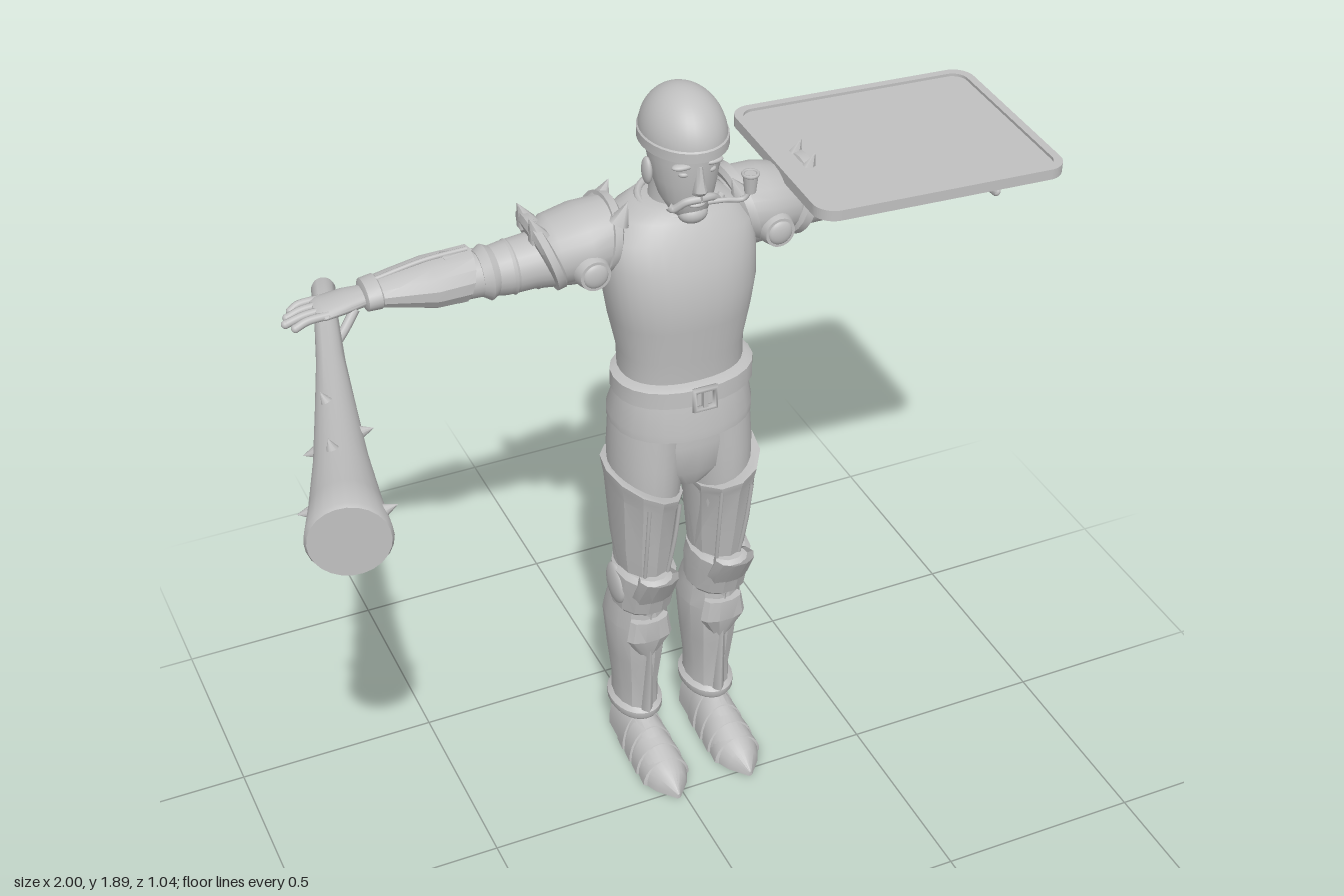
import * as THREE from 'three';
import { toCreasedNormals } from 'three/addons/utils/BufferGeometryUtils.js';

const stone = new THREE.MeshStandardMaterial({ color: 0xc0c0c0 });
stone.name = 'plain grey';
const V = (x, y, z) => new THREE.Vector3(x, y, z);

// Closed skin through oval sections [t, a, b, ra, rb, tilt] along an axis.
// y: a,b = x,z   x: a,b = y,z   z: a,b = x,y
function loft(axis, secs, { n = 24, pow = 2, crease = 0.7 } = {}) {
  const pos = [], idx = [], dir = axis === 'y' ? 1 : -1;
  const place = (t, u, v) => axis === 'y' ? [u, t, v] : axis === 'x' ? [t, u, v] : [u, Math.max(v, 0), t];
  const bend = c => Math.sign(c) * Math.abs(c) ** (2 / pow);
  for (const [t, a, b, ra, rb, tilt = 0] of secs) {
    for (let j = 0; j < n; j++) {
      const th = dir * j / n * Math.PI * 2;
      const c = bend(Math.cos(th)), s = bend(Math.sin(th));
      pos.push(...place(t + tilt * (axis === 'y' && Math.abs(tilt) > 1 ? 0 : c), a + ra * c, b + rb * s));
    }
  }
  for (let i = 0; i < secs.length - 1; i++) for (let j = 0; j < n; j++) {
    const k = (j + 1) % n, a = i * n + j, b = i * n + k;
    idx.push(a, a + n, b, b, a + n, b + n);
  }
  const last = (secs.length - 1) * n, lo = secs.length * n;
  for (const s of [secs[0], secs[secs.length - 1]]) pos.push(...place(s[0], s[1], s[2]));
  for (let j = 0; j < n; j++) {
    const k = (j + 1) % n;
    idx.push(lo, j, k, lo + 1, last + k, last + j);
  }
  const g = new THREE.BufferGeometry();
  g.setAttribute('position', new THREE.Float32BufferAttribute(pos, 3));
  g.setIndex(idx);
  return toCreasedNormals(g, crease);
}

function add(group, name, geo) {
  const m = new THREE.Mesh(geo, stone);
  m.name = name;
  group.add(m);
  return m;
}

const ball = (x, y, z, rx, ry, rz) => new THREE.SphereGeometry(1, 20, 14).scale(rx, ry, rz).translate(x, y, z);

// Cone whose base sits at p and points along d
function spike(p, d, r, h, sides = 10) {
  const q = new THREE.Quaternion().setFromUnitVectors(V(0, 1, 0), d.clone().normalize());
  return new THREE.ConeGeometry(r, h, sides).translate(0, h / 2, 0).applyQuaternion(q).translate(p.x, p.y, p.z);
}

const tube = (pts, r, seg = 16, closed = false) =>
  new THREE.TubeGeometry(new THREE.CatmullRomCurve3(pts.map(p => V(...p)), closed), seg, r, 8, closed);

// Copy of a half of the body, reflected across x = 0
function mirrored(src) {
  const out = new THREE.Group();
  src.children.forEach(m => {
    const g = (m.geometry.index ? m.geometry.toNonIndexed() : m.geometry.clone()).applyMatrix4(new THREE.Matrix4().makeScale(-1, 1, 1));
    const order = [];
    for (let i = 0; i < g.attributes.position.count; i += 3) order.push(i, i + 2, i + 1);
    g.setIndex(order);
    add(out, m.name, g);
  });
  return out;
}

function buildLeg() {
  const leg = new THREE.Group();
  add(leg, 'leg', loft('y', [[0.1, 0.1, -0.25, 0.045, 0.055], [0.3, 0.1, -0.25, 0.055, 0.08], [0.55, 0.1, -0.21, 0.06, 0.075],
    [0.8, 0.095, -0.195, 0.078, 0.11], [0.95, 0.088, -0.2, 0.087, 0.117], [1.04, 0.08, -0.2, 0.09, 0.115]]));
  // Thigh plate, cut higher on the outside
  add(leg, 'thighPlate', loft('y', [[0.59, 0.098, -0.197, 0.062, 0.08], [0.7, 0.1, -0.195, 0.074, 0.1], [0.84, 0.1, -0.193, 0.083, 0.125, 0.02],
    [0.865, 0.101, -0.192, 0.088, 0.133, 0.035], [0.88, 0.101, -0.192, 0.09, 0.137, 0.035], [0.88, 0.101, -0.192, 0.08, 0.122, 0.035]], { n: 12, crease: 0.4 }));
  for (const x of [0.065, 0.125])
    add(leg, 'thighRidge', tube([[x, 0.62, -0.12], [x + (x - 0.1) * 0.2, 0.74, -0.092], [x + (x - 0.1) * 0.3, 0.86, -0.07]], 0.005));
  // Knee guard with a flared upper lip
  add(leg, 'kneeGuard', loft('y', [[0.48, 0.1, -0.21, 0.062, 0.07], [0.5, 0.1, -0.205, 0.075, 0.088], [0.57, 0.1, -0.195, 0.078, 0.1],
    [0.61, 0.1, -0.185, 0.074, 0.105], [0.62, 0.1, -0.185, 0.06, 0.09]], { n: 14, crease: 0.4 }));
  add(leg, 'kneeFlare', loft('y', [[0.49, 0.1, -0.16, 0.035, 0.025], [0.56, 0.1, -0.13, 0.055, 0.035], [0.635, 0.1, -0.09, 0.05, 0.04],
    [0.6, 0.1, -0.13, 0.04, 0.03]], { n: 10, crease: 0.4 }));
  add(leg, 'kneeWing', ball(0.168, 0.56, -0.2, 0.016, 0.055, 0.05));
  // Shin plate and its raised front ridge
  add(leg, 'shinPlate', loft('y', [[0.12, 0.1, -0.255, 0.055, 0.082], [0.2, 0.1, -0.255, 0.054, 0.082], [0.3, 0.1, -0.25, 0.066, 0.093],
    [0.42, 0.1, -0.245, 0.077, 0.102], [0.47, 0.1, -0.237, 0.07, 0.092], [0.53, 0.1, -0.22, 0.064, 0.075]], { n: 14, crease: 0.4 }));
  add(leg, 'shinRidge', spike(V(0.1, 0.14, -0.175), V(0, 1, 0.1), 0.016, 0.36, 4));
  add(leg, 'shinCap', loft('y', [[0.33, 0.1, -0.17, 0.02, 0.015], [0.4, 0.1, -0.155, 0.06, 0.025], [0.46, 0.1, -0.155, 0.05, 0.025]], { n: 10, crease: 0.4 }));
  add(leg, 'ankleBand', loft('y', [[0.11, 0.1, -0.255, 0.06, 0.085], [0.12, 0.1, -0.255, 0.066, 0.092], [0.135, 0.1, -0.255, 0.066, 0.092], [0.145, 0.1, -0.255, 0.055, 0.08]]));
  // Pointed armoured shoe made of overlapping lames
  add(leg, 'shoe', loft('z', [[-0.325, 0.1, 0, 0.03, 0.1], [-0.31, 0.1, 0, 0.05, 0.115], [-0.2, 0.1, 0, 0.055, 0.115], [-0.13, 0.1, 0, 0.058, 0.088],
    [-0.06, 0.1, 0, 0.06, 0.066], [-0.02, 0.1, 0, 0.042, 0.05], [0.025, 0.1, 0, 0.004, 0.014]], { crease: 0.5 }));
  for (const [z, r, h] of [[-0.2, 0.06, 0.12], [-0.15, 0.062, 0.104], [-0.1, 0.064, 0.086], [-0.055, 0.063, 0.07]])
    add(leg, 'shoeLame', loft('z', [[z - 0.04, 0.1, 0, r - 0.004, h + 0.004], [z, 0.1, 0, r, h - 0.006], [z + 0.006, 0.1, 0, r - 0.008, h - 0.02]], { crease: 0.4 }));
  return leg;
}

function buildArm() {
  const arm = new THREE.Group();
  add(arm, 'sleeve', loft('x', [[0.13, 1.5, -0.245, 0.08, 0.085], [0.25, 1.5, -0.25, 0.075, 0.078], [0.34, 1.495, -0.255, 0.062, 0.066],
    [0.4, 1.49, -0.257, 0.06, 0.062], [0.46, 1.49, -0.257, 0.05, 0.054], [0.55, 1.495, -0.257, 0.05, 0.058], [0.72, 1.505, -0.257, 0.026, 0.038]]));
  for (const x of [0.33, 0.385, 0.44])
    add(arm, 'sleeveFold', loft('x', [[x - 0.02, 1.492, -0.256, 0.052, 0.056], [x, 1.491, -0.256, 0.063, 0.066], [x + 0.02, 1.492, -0.256, 0.05, 0.054]]));
  // Shoulder guard: shell, two trims, round disc and points
  add(arm, 'shoulderShell', loft('x', [[0.13, 1.53, -0.25, 0.055, 0.07], [0.16, 1.525, -0.25, 0.085, 0.095], [0.22, 1.52, -0.253, 0.086, 0.1],
    [0.29, 1.512, -0.256, 0.078, 0.09], [0.315, 1.51, -0.256, 0.06, 0.07]]));
  for (const [x, y, ry, rz, lean] of [[0.165, 1.525, 0.088, 0.103, -0.02], [0.305, 1.515, 0.087, 0.102, 0.028]])
    add(arm, 'shoulderTrim', loft('x', [[x - 0.014, y, -0.255, ry - 0.012, rz - 0.012, lean], [x - 0.007, y, -0.255, ry, rz, lean],
      [x + 0.012, y, -0.255, ry + 0.004, rz + 0.004, lean], [x + 0.016, y, -0.255, ry - 0.014, rz - 0.014, lean]], { crease: 0.4 }));
  for (const [x, y, z, dx, h] of [[0.325, 1.57, -0.22, 0.4, 0.06], [0.325, 1.57, -0.29, 0.4, 0.06], [0.15, 1.58, -0.19, -0.5, 0.055], [0.15, 1.58, -0.3, -0.5, 0.055]])
    add(arm, 'shoulderPoint', spike(V(x, y, z), V(dx, 1, 0), 0.026, h, 6));
  add(arm, 'shoulderDisc', new THREE.CylinderGeometry(0.036, 0.042, 0.025, 24).rotateX(Math.PI / 2).translate(0.225, 1.49, -0.152));
  add(arm, 'shoulderDiscDome', ball(0.225, 1.49, -0.142, 0.03, 0.03, 0.012));
  // Forearm guard flaring to a point at the elbow
  add(arm, 'forearmGuard', loft('x', [[0.5, 1.497, -0.257, 0.045, 0.055], [0.49, 1.5, -0.257, 0.06, 0.07, -0.018], [0.57, 1.5, -0.257, 0.056, 0.072],
    [0.65, 1.505, -0.257, 0.04, 0.056], [0.7, 1.507, -0.257, 0.03, 0.045], [0.71, 1.507, -0.257, 0.024, 0.038]], { n: 14, crease: 0.4 }));
  add(arm, 'elbowPoint', spike(V(0.53, 1.535, -0.257), V(-1, 0.35, 0), 0.03, 0.07, 6));
  add(arm, 'forearmRidge', tube([[0.48, 1.56, -0.257], [0.58, 1.556, -0.257], [0.69, 1.537, -0.257]], 0.006));
  add(arm, 'wristCuff', loft('x', [[0.685, 1.507, -0.257, 0.03, 0.046], [0.69, 1.507, -0.257, 0.035, 0.051], [0.72, 1.505, -0.257, 0.033, 0.047], [0.725, 1.505, -0.257, 0.02, 0.036]]));
  // Open hand
  add(arm, 'palm', loft('x', [[0.7, 1.505, -0.257, 0.018, 0.03], [0.76, 1.503, -0.255, 0.02, 0.042], [0.82, 1.5, -0.25, 0.016, 0.046], [0.835, 1.5, -0.25, 0.008, 0.04]]));
  [[-0.285, 0.885], [-0.262, 0.9], [-0.239, 0.91], [-0.215, 0.895]].forEach(([z, tip]) => {
    add(arm, 'finger', tube([[0.81, 1.502, z], [0.86, 1.499, z], [tip - 0.008, 1.49, z + 0.003]], 0.0095));
    add(arm, 'fingertip', ball(tip - 0.008, 1.49, z + 0.003, 0.0095, 0.0095, 0.0095));
  });
  add(arm, 'thumb', tube([[0.75, 1.495, -0.225], [0.785, 1.46, -0.205], [0.82, 1.425, -0.195]], 0.011));
  add(arm, 'thumbTip', ball(0.82, 1.425, -0.195, 0.011, 0.011, 0.011));
  return arm;
}

function buildTrunk() {
  const t = new THREE.Group();
  add(t, 'hips', loft('y', [[0.87, 0, -0.2, 0.06, 0.085], [0.92, 0, -0.2, 0.15, 0.11], [1.0, 0, -0.2, 0.17, 0.118], [1.08, 0, -0.2, 0.16, 0.11]]));
  add(t, 'skirt', loft('y', [[1.06, 0, -0.2, 0.15, 0.12], [1.04, 0, -0.2, 0.172, 0.144], [1.06, 0, -0.2, 0.173, 0.143], [1.14, 0, -0.188, 0.157, 0.118], [1.18, 0, -0.19, 0.148, 0.11]], { pow: 2.2 }));
  add(t, 'belt', loft('y', [[1.13, 0, -0.185, 0.157, 0.118], [1.136, 0, -0.185, 0.17, 0.128], [1.178, 0, -0.185, 0.17, 0.126], [1.185, 0, -0.185, 0.155, 0.113]], { pow: 2.2 }));
  add(t, 'breastplate', loft('y', [[1.16, 0, -0.195, 0.148, 0.108], [1.24, 0, -0.197, 0.149, 0.114], [1.33, 0, -0.2, 0.167, 0.13], [1.4, 0, -0.2, 0.178, 0.133],
    [1.48, 0, -0.21, 0.183, 0.128], [1.54, 0, -0.222, 0.18, 0.112], [1.58, 0, -0.23, 0.14, 0.095], [1.6, 0, -0.235, 0.095, 0.078], [1.605, 0, -0.235, 0.075, 0.06]], { n: 32, pow: 2.3 }));
  add(t, 'collar', new THREE.TorusGeometry(0.08, 0.009, 8, 32).rotateX(Math.PI / 2 + 0.15).translate(0, 1.597, -0.228));
  // Square buckle
  add(t, 'buckle', new THREE.TorusGeometry(0.036, 0.009, 6, 4).rotateZ(Math.PI / 4).translate(0, 1.156, -0.052));
  add(t, 'bucklePin', new THREE.BoxGeometry(0.012, 0.05, 0.012).translate(0, 1.156, -0.052));
  return t;
}

function buildHead() {
  const h = new THREE.Group();
  add(h, 'neck', loft('y', [[1.54, 0, -0.235, 0.075, 0.065], [1.6, 0, -0.228, 0.058, 0.057], [1.72, 0, -0.21, 0.056, 0.058]]));
  add(h, 'face', loft('y', [[1.595, 0, -0.135, 0.022, 0.02], [1.61, 0, -0.145, 0.043, 0.04], [1.645, 0, -0.16, 0.062, 0.062], [1.69, 0, -0.17, 0.073, 0.083],
    [1.74, 0, -0.177, 0.08, 0.092], [1.79, 0, -0.178, 0.082, 0.095]]));
  add(h, 'nose', loft('y', [[1.672, 0, -0.092, 0.016, 0.016], [1.682, 0, -0.086, 0.017, 0.018], [1.71, 0, -0.09, 0.011, 0.014], [1.74, 0, -0.094, 0.008, 0.012]], { n: 10 }));
  for (const s of [-1, 1]) {
    add(h, 'ear', ball(s * 0.082, 1.7, -0.185, 0.011, 0.033, 0.02));
    add(h, 'eye', ball(s * 0.031, 1.722, -0.103, 0.014, 0.008, 0.012));
    add(h, 'brow', ball(s * 0.034, 1.742, -0.1, 0.027, 0.008, 0.014));
    add(h, 'moustache', tube([[0, 1.662, -0.084], [s * 0.03, 1.657, -0.092], [s * 0.055, 1.637, -0.108], [s * 0.064, 1.645, -0.112]], 0.0095));
  }
  add(h, 'lip', ball(0, 1.64, -0.102, 0.02, 0.007, 0.012));
  add(h, 'beard', ball(0, 1.607, -0.125, 0.035, 0.024, 0.027));
  // Round helmet with a rim
  add(h, 'helmetDome', new THREE.SphereGeometry(1, 32, 14, 0, Math.PI * 2, 0, Math.PI / 2).scale(0.094, 0.108, 0.12).translate(0, 1.782, -0.178));
  add(h, 'helmetRim', loft('y', [[1.765, 0, -0.178, 0.085, 0.108], [1.767, 0, -0.178, 0.097, 0.123], [1.79, 0, -0.178, 0.097, 0.123], [1.796, 0, -0.178, 0.09, 0.116]], { n: 32 }));
  // Smoking pipe
  add(h, 'pipeStem', tube([[0.02, 1.645, -0.092], [0.06, 1.645, -0.085], [0.1, 1.642, -0.078], [0.115, 1.66, -0.075]], 0.006));
  add(h, 'pipeBowl', new THREE.CylinderGeometry(0.018, 0.013, 0.045, 14).translate(0.115, 1.68, -0.075));
  add(h, 'pipeLip', new THREE.TorusGeometry(0.017, 0.004, 6, 16).rotateX(Math.PI / 2).translate(0.115, 1.702, -0.075));
  return h;
}

function roundedRect(Shape, w, d, r) {
  const s = new Shape(), x = w / 2, y = d / 2;
  s.absarc(x - r, y - r, r, 0, Math.PI / 2).absarc(r - x, y - r, r, Math.PI / 2, Math.PI);
  s.absarc(r - x, r - y, r, Math.PI, Math.PI * 1.5).absarc(x - r, r - y, r, Math.PI * 1.5, Math.PI * 2);
  s.closePath();
  return s;
}

function buildShield() {
  const g = new THREE.Group();
  const slab = (shape, depth) => new THREE.ExtrudeGeometry(shape, { depth, bevelEnabled: false, curveSegments: 8 }).rotateX(-Math.PI / 2).translate(0, -depth / 2, 0);
  const rim = roundedRect(THREE.Shape, 0.625, 0.52, 0.05);
  rim.holes.push(roundedRect(THREE.Path, 0.585, 0.48, 0.035));
  add(g, 'shieldRim', slab(rim, 0.026));
  add(g, 'shieldPlate', slab(roundedRect(THREE.Shape, 0.6, 0.495, 0.04), 0.012));
  g.position.set(0.657, 1.584, -0.254);
  g.rotation.set(0, -0.03, -0.025);
  return g;
}

function buildClub() {
  const g = new THREE.Group();
  const profile = [[0, 0], [0.024, 0], [0.027, 0.01], [0.025, 0.1], [0.031, 0.3], [0.043, 0.48], [0.056, 0.66], [0.074, 0.82], [0.087, 0.91], [0.082, 0.92], [0, 0.92]];
  add(g, 'clubBody', toCreasedNormals(new THREE.LatheGeometry(profile.map(p => new THREE.Vector2(...p)), 24), 0.7));
  // Studs: distance along the club, angle round it, surface radius
  for (const [t, a, r] of [[0.5, 3.3, 0.042], [0.56, 0, 0.046], [0.58, 1.57, 0.048], [0.6, 4.7, 0.05], [0.69, 3.14, 0.058], [0.75, 0.15, 0.064], [0.8, 4.6, 0.07], [0.87, 1.7, 0.08]]) {
    const d = V(Math.sin(a), 0, Math.cos(a));
    add(g, 'clubSpike', spike(d.clone().multiplyScalar(r - 0.005).setY(t), d, 0.015, 0.032));
  }
  g.position.set(-0.69, 1.462, -0.39);
  g.quaternion.setFromUnitVectors(V(0, 1, 0), V(-0.23, 0.003, 0.89).normalize());
  return g;
}

export function createModel() {
  const model = new THREE.Group(), figure = new THREE.Group();
  const put = (parent, name, g) => { g.name = name; parent.add(g); };
  const leg = buildLeg(), arm = buildArm();
  put(figure, 'leftLeg', leg);
  put(figure, 'rightLeg', mirrored(leg));
  put(figure, 'leftArm', arm);
  put(figure, 'rightArm', mirrored(arm));
  put(figure, 'trunk', buildTrunk());
  put(figure, 'head', buildHead());
  figure.position.x = 0.082;
  put(model, 'armouredFigure', figure);
  put(model, 'shield', buildShield());
  put(model, 'club', buildClub());
  model.name = 'armouredFighter';
  return model;
}
